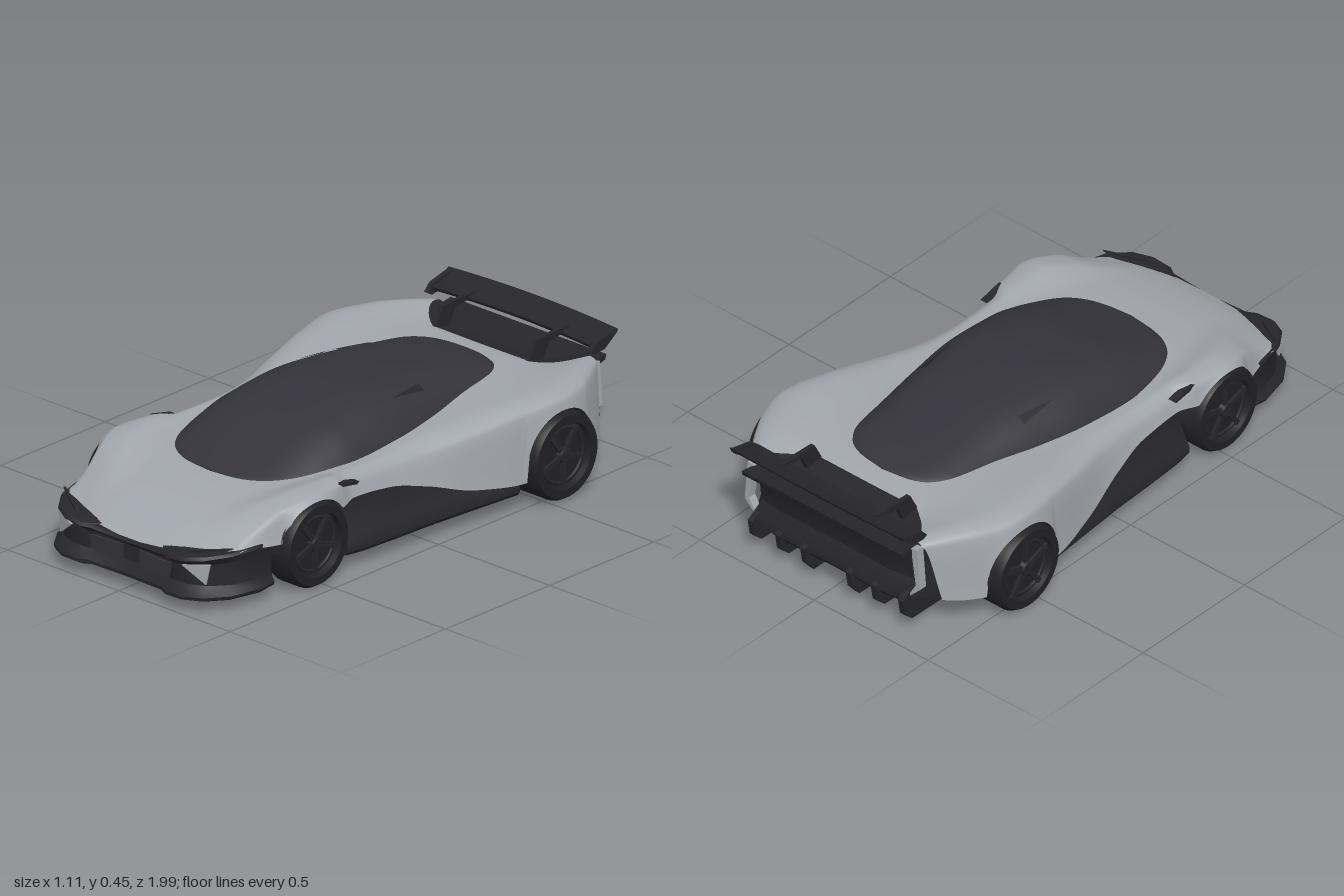
import * as THREE from 'three';
import { toCreasedNormals } from 'three/addons/utils/BufferGeometryUtils.js';

const mat = (name, color) => {
  const m = new THREE.MeshStandardMaterial({ color, side: THREE.DoubleSide });
  m.name = name;
  return m;
};

// Overshoot-free cubic curve through (xs, ys), xs ascending
function curve(xs, ys) {
  const n = xs.length, d = [], m = [];
  for (let i = 0; i < n - 1; i++) d.push((ys[i + 1] - ys[i]) / (xs[i + 1] - xs[i]));
  for (let i = 0; i < n; i++) {
    const a = d[Math.max(i - 1, 0)], b = d[Math.min(i, n - 2)];
    m.push(a * b <= 0 ? 0 : (2 * a * b) / (a + b));
  }
  return (x) => {
    x = THREE.MathUtils.clamp(x, xs[0], xs[n - 1]);
    let i = 0;
    while (i < n - 2 && x > xs[i + 1]) i++;
    const h = xs[i + 1] - xs[i], t = (x - xs[i]) / h, t2 = t * t, t3 = t2 * t;
    return (2 * t3 - 3 * t2 + 1) * ys[i] + (t3 - 2 * t2 + t) * h * m[i]
      + (3 * t2 - 2 * t3) * ys[i + 1] + (t3 - t2) * h * m[i + 1];
  };
}
// Table rows [z, a, b, ...] with z falling; returns one curve per column
const columns = (rows) => rows[0].slice(1).map((_, c) => curve(rows.map((r) => -r[0]), rows.map((r) => r[c + 1])));

// Surface from f(s, t) -> [x, y, z], s and t in 0..1
function grid(ns, nt, f) {
  const pos = [], idx = [];
  for (let i = 0; i <= ns; i++) for (let j = 0; j <= nt; j++) pos.push(...f(i / ns, j / nt));
  for (let i = 0; i < ns; i++) for (let j = 0; j < nt; j++) {
    const a = i * (nt + 1) + j, b = a + nt + 1;
    idx.push(a, b, a + 1, b, b + 1, a + 1);
  }
  const g = new THREE.BufferGeometry();
  g.setAttribute('position', new THREE.Float32BufferAttribute(pos, 3));
  g.setIndex(idx);
  g.computeVertexNormals();
  return g;
}
// Closed rings joined in order and capped at both ends
function rings(list) {
  const mid = (r) => r.map(() => [0, 1, 2].map((k) => r.reduce((s, p) => s + p[k], 0) / r.length));
  const all = [mid(list[0]), ...list, mid(list[list.length - 1])], n = list[0].length;
  return toCreasedNormals(grid(all.length - 1, n, (s, t) => all[Math.round(s * (all.length - 1))][Math.round(t * n) % n]), 0.6);
}
// Side profile of [z, y] points, extruded to width w around x
function sideProfile(pts, w, x = 0) {
  const g = new THREE.ExtrudeGeometry(new THREE.Shape(pts.map((p) => new THREE.Vector2(...p))), { depth: w, bevelEnabled: false });
  return g.rotateY(-Math.PI / 2).translate(x + w / 2, 0, 0);
}
const mirrorPlan = (half) => [...half, ...half.slice().reverse().filter((p) => p[0] > 0).map(([x, z]) => [-x, z])];

const WHEELS = [
  { name: 'front', z: 0.53, r: 0.15, inner: 0.345, outer: 0.46, arch: 0.156 },
  { name: 'rear', z: -0.56, r: 0.155, inner: 0.37, outer: 0.555, arch: 0.162 },
];

// Body stations: z, centre y, then x/y of canopy line, fender crest, shoulder, lower edge
const body = columns([
  [0.95, 0.172, 0.16, 0.172, 0.29, 0.187, 0.36, 0.2, 0.39, 0.2],
  [0.88, 0.212, 0.16, 0.212, 0.29, 0.222, 0.37, 0.228, 0.403, 0.195],
  [0.78, 0.25, 0.17, 0.25, 0.3, 0.262, 0.385, 0.262, 0.418, 0.19],
  [0.66, 0.28, 0.2, 0.28, 0.33, 0.302, 0.405, 0.298, 0.438, 0.19],
  [0.53, 0.297, 0.24, 0.298, 0.37, 0.328, 0.432, 0.32, 0.457, 0.22],
  [0.4, 0.305, 0.28, 0.305, 0.375, 0.328, 0.425, 0.316, 0.447, 0.24],
  [0.32, 0.31, 0.3, 0.31, 0.36, 0.317, 0.4, 0.297, 0.422, 0.245],
  [0.15, 0.31, 0.32, 0.315, 0.36, 0.315, 0.4, 0.29, 0.425, 0.23],
  [0, 0.32, 0.315, 0.325, 0.355, 0.325, 0.412, 0.295, 0.447, 0.192],
  [-0.2, 0.33, 0.29, 0.335, 0.38, 0.34, 0.46, 0.315, 0.49, 0.128],
  [-0.4, 0.348, 0.255, 0.35, 0.43, 0.362, 0.505, 0.34, 0.53, 0.105],
  [-0.56, 0.355, 0.24, 0.355, 0.455, 0.37, 0.528, 0.352, 0.54, 0.2],
  [-0.7, 0.347, 0.22, 0.347, 0.42, 0.37, 0.492, 0.35, 0.52, 0.11],
  [-0.78, 0.33, 0.22, 0.333, 0.388, 0.366, 0.45, 0.348, 0.48, 0.115],
  [-0.9, 0.312, 0.2, 0.315, 0.34, 0.35, 0.373, 0.338, 0.39, 0.14],
]);
const KNOTS = [0, 1, 2, 3, 4];
// Point on the bodywork at station z; u runs -4..4 from right edge to left edge
function bodyPoint(z, u) {
  const [yc, xm, ym, xf, yf, xs, ys, xl, yl] = body.map((c) => c(-z));
  let low = yl;
  for (const w of WHEELS) {
    const d = w.arch ** 2 - (z - w.z) ** 2;
    if (d > 0) low = Math.max(low, w.r + Math.sqrt(d));
  }
  const a = Math.abs(u);
  const x = curve(KNOTS, [0, xm, xf, xs, xl])(a);
  const y = curve(KNOTS, [yc, ym, yf, ys, Math.min(low, ys - 0.004)])(a);
  const bend = THREE.MathUtils.smoothstep(z, 0.6, 0.95) * Math.max(0, x - 0.15) ** 1.5;
  return [Math.sign(u) * x, y, z - bend];
}
// Rear limit of the paint: wraps the dark deck, then leans forward toward the sill
function deckEdge(u) {
  const a = Math.abs(u);
  return -0.74 - 0.15 * THREE.MathUtils.clamp(a - 1, 0, 1) + 0.04 * Math.max(0, a - 3);
}

// Canopy: half width and roof height along z; t runs -1..1 across
const canopyTable = columns([
  [0.565, 0, 0.298], [0.555, 0.12, 0.302], [0.53, 0.19, 0.31], [0.48, 0.245, 0.327], [0.4, 0.285, 0.358],
  [0.3, 0.312, 0.398], [0.2, 0.327, 0.427], [0, 0.322, 0.453], [-0.2, 0.292, 0.443], [-0.4, 0.25, 0.415],
  [-0.55, 0.222, 0.387], [-0.62, 0.18, 0.37], [-0.65, 0.12, 0.36], [-0.665, 0, 0.352],
]);
function canopyPoint(z, t, lift = 0) {
  const [w, top] = canopyTable.map((c) => c(-z));
  const base = body[2](-z) - 0.006;
  return [w * t, base + (top - base) * Math.max(0, 1 - Math.abs(t) ** 3.8) ** 0.9 + lift, z];
}

export function createModel() {
  const silver = mat('silver paint', 0xa0a5ab), glass = mat('canopy glass', 0x34333b);
  const trim = mat('dark trim', 0x26262b), rubber = mat('wheel black', 0x212125);
  const car = new THREE.Group();
  car.name = 'sportsCar';
  const add = (name, geo, m, parent = car) => {
    const mesh = new THREE.Mesh(geo, m);
    mesh.name = name;
    parent.add(mesh);
    return mesh;
  };

  // Painted shell, dark rear deck and canopy
  add('bodyShell', grid(170, 56, (s, t) => {
    const u = 8 * t - 4;
    return bodyPoint(0.95 + (deckEdge(u) - 0.95) * s, u);
  }), silver);
  add('rearDeck', grid(10, 32, (s, t) => {
    const u = 4 * t - 2;
    return bodyPoint(deckEdge(u) + (-0.9 - deckEdge(u)) * s, u);
  }), trim);
  add('canopy', grid(70, 48, (s, t) => canopyPoint(-0.05 + 0.615 * Math.cos(Math.PI * s), Math.sin((t - 0.5) * Math.PI))), glass);
  add('roofPanel', grid(6, 20, (s, t) => canopyPoint(-0.23 - 0.15 * s, 1.4 * t - 0.7, 0.004)), glass);

  // Central tub with flat floor rising into the diffuser
  add('tub', sideProfile([[0.9, 0.045], [0.88, 0.14], [0.6, 0.24], [-0.75, 0.26], [-0.86, 0.25], [-0.86, 0.11], [-0.66, 0.045]], 0.68), trim);

  // Front bumper with splitter lip
  const nose = mirrorPlan([[0, 0.97], [0.17, 0.975], [0.2, 0.992], [0.27, 0.99], [0.335, 0.955], [0.39, 0.88], [0.42, 0.76], [0.41, 0.69], [0.3, 0.68], [0, 0.68]]);
  const noseRows = [[0.034, 0.95, 0.93], [0.045, 0.99, 1], [0.056, 1, 1], [0.07, 0.98, 0.93], [0.085, 0.96, 0.87], [0.135, 0.96, 0.85], [0.16, 0.975, 0.96], [0.17, 0.965, 0.93]];
  add('frontBumper', rings(noseRows.map(([y, kx, kz]) => nose.map(([x, z]) =>
    [x * kx, y + (y > 0.1 ? 0.2 * x * x : 0), 0.68 + (z - 0.68) * kz]))), trim);

  // Rear fascia: overhanging top, undercut middle, protruding lower edge
  const tail = mirrorPlan([[0, -0.92], [0.25, -0.925], [0.35, -0.91], [0.385, -0.86], [0.42, -0.74], [0.33, -0.72], [0, -0.72]]);
  const tailRows = [[0.09, 0.88, 0.94], [0.115, 0.95, 1.04], [0.14, 0.95, 1.03], [0.19, 0.95, 0.88], [0.27, 0.95, 0.92], [0.318, 0.95, 1.06], [0.325, 0.94, 1.05]];
  add('rearFascia', rings(tailRows.map(([y, kx, kz]) => tail.map(([x, z]) => [x * kx, y, -0.72 + (z + 0.72) * kz]))), trim);
  add('ducktail', sideProfile([[-0.84, 0.315], [-0.965, 0.336], [-0.96, 0.318], [-0.88, 0.295]], 0.7), trim);

  // Diffuser fins, the inner pair hanging lowest
  for (const x of [-0.33, -0.21, -0.1, 0.1, 0.21, 0.33]) {
    const low = Math.abs(x) < 0.15 ? 0.026 : 0.036;
    add('diffuserFin', sideProfile([[-0.6, 0.05], [-0.7, low], [-0.9, low + 0.002], [-0.935, 0.07], [-0.945, 0.13], [-0.88, 0.17], [-0.7, 0.1]], 0.022, x), trim);
  }

  // Rear wing: swept blade with drooped tips
  const foil = [[-0.89, 0.402], [-0.94, 0.41], [-1, 0.434], [-0.995, 0.422], [-0.94, 0.39], [-0.895, 0.39]];
  add('wingBlade', rings(Array.from({ length: 17 }, (_, i) => {
    const k = i / 8 - 1;
    return foil.map(([z, y]) => [(0.36 + 0.2 * (-0.89 - z)) * k, y - 0.006 * k * k, z + 0.012 * k * k]);
  })), trim);

  // Parts mirrored on both sides
  for (const side of [1, -1]) {
    const label = side > 0 ? 'left' : 'right';
    // Side skirt, pinched in the middle and flaring toward the rear wheel
    add(label + 'Skirt', rings([[0.365, 0.435], [0.3, 0.448], [0.15, 0.458], [0, 0.465], [-0.2, 0.482], [-0.39, 0.5]].map(([z, x]) =>
      [[0.3, 0.285], [x - 0.06, 0.275], [x - 0.055, 0.2], [x - 0.018, 0.115], [x, 0.085], [x, 0.065], [x - 0.01, 0.052], [0.3, 0.045]]
        .map(([px, y]) => [side * px, y, z]))), trim);
    // Dark vent on the canopy flank
    add(label + 'CanopyVent', grid(8, 4, (s, t) => canopyPoint(-0.07 - 0.15 * s, side * (0.72 + 0.1 * s * (t - 0.2)), 0.004)), trim);
    add(label + 'WingStrut', sideProfile([[-0.73, 0.33], [-0.77, 0.405], [-0.93, 0.412], [-0.93, 0.395], [-0.83, 0.385], [-0.8, 0.32]], 0.016, side * 0.21), trim);
    add(label + 'WingEndPlate', sideProfile([[-0.865, 0.378], [-0.88, 0.368], [-0.93, 0.372], [-0.985, 0.412], [-0.985, 0.428], [-0.89, 0.405]], 0.02, side * 0.366), trim);
    add(label + 'FenderVent', sideProfile([[0.42, 0.308], [0.31, 0.29], [0.3, 0.298], [0.39, 0.319]], 0.028, side * 0.412), trim);
    // Front lamp blade and dark slit above it
    const plate = (pts, depth) => new THREE.ExtrudeGeometry(
      new THREE.Shape(pts.map(([x, y]) => new THREE.Vector2(side * x, y))), { depth, bevelEnabled: false });
    const lamp = add(label + 'LampBlade', plate([[-0.055, 0.022], [0.045, 0.035], [0.03, -0.038]], 0.008), silver);
    lamp.position.set(side * 0.297, 0.132, 0.936);
    lamp.rotation.y = side * 0.4;
    const slit = add(label + 'LampSlit', plate([[-0.09, -0.012], [0.07, 0.014], [0.08, 0.02], [-0.06, 0.002]], 0.008), trim);
    slit.position.set(side * 0.31, 0.196, 0.893);
    slit.rotation.y = side * 0.55;
    // Grille panel, and the painted frame at the tail
    add(label + 'GrillePanel', plate([[0.04, 0.072], [0.2, 0.072], [0.235, 0.13], [0.04, 0.137]], 0.008), glass).position.z = 0.935;
    add(label + 'TailFrame', plate([[0.345, 0.33], [0.372, 0.335], [0.385, 0.18], [0.325, 0.12], [0.366, 0.19]], 0.03), silver).position.z = -0.91;

    // Wheels with their wells
    for (const w of WHEELS) {
      const well = new THREE.CylinderGeometry(w.arch - 0.002, w.arch - 0.002, w.outer - w.inner - 0.025, 32, 1, true, 0, Math.PI);
      add(label + 'WheelWell', well.rotateZ(Math.PI / 2).translate(side * (w.inner + w.outer - 0.035) / 2, w.r, w.z), trim);
      add(label + 'WellWall', new THREE.CircleGeometry(w.arch, 40, 0, Math.PI).rotateY(Math.PI / 2).translate(side * (w.inner - 0.004), w.r, w.z), trim);

      const wheel = new THREE.Group();
      wheel.name = label + w.name[0].toUpperCase() + w.name.slice(1) + 'Wheel';
      wheel.position.set(side * (w.inner + w.outer) / 2, w.r, w.z);
      wheel.rotation.z = -side * Math.PI / 2;
      const h = (w.outer - w.inner) / 2, r = w.r;
      const profile = [[r * 0.72, -h + 0.02], [r * 0.75, -h], [r * 0.93, -h], [r, -h + 0.018], [r, h - 0.018], [r * 0.93, h], [r * 0.75, h], [r * 0.72, h - 0.02]];
      add('tyre', toCreasedNormals(new THREE.LatheGeometry(profile.map((p) => new THREE.Vector2(...p)), 48), 0.6), rubber, wheel);
      add('rimDisc', new THREE.CylinderGeometry(r * 0.73, r * 0.73, 2 * h - 0.05, 40), rubber, wheel);
      add('rimRing', new THREE.TorusGeometry(r * 0.62, 0.006, 8, 40).rotateX(Math.PI / 2).translate(0, h - 0.022, 0), trim, wheel);
      add('hub', new THREE.CylinderGeometry(0.022, 0.028, 0.02, 20).translate(0, h - 0.016, 0), trim, wheel);
      for (let i = 0; i < 5; i++)
        add('spoke', new THREE.BoxGeometry(r * 0.7, 0.014, 0.018).translate(r * 0.37, h - 0.02, 0).rotateY(i * Math.PI * 0.4), trim, wheel);
      car.add(wheel);
    }
  }
  return car;
}
